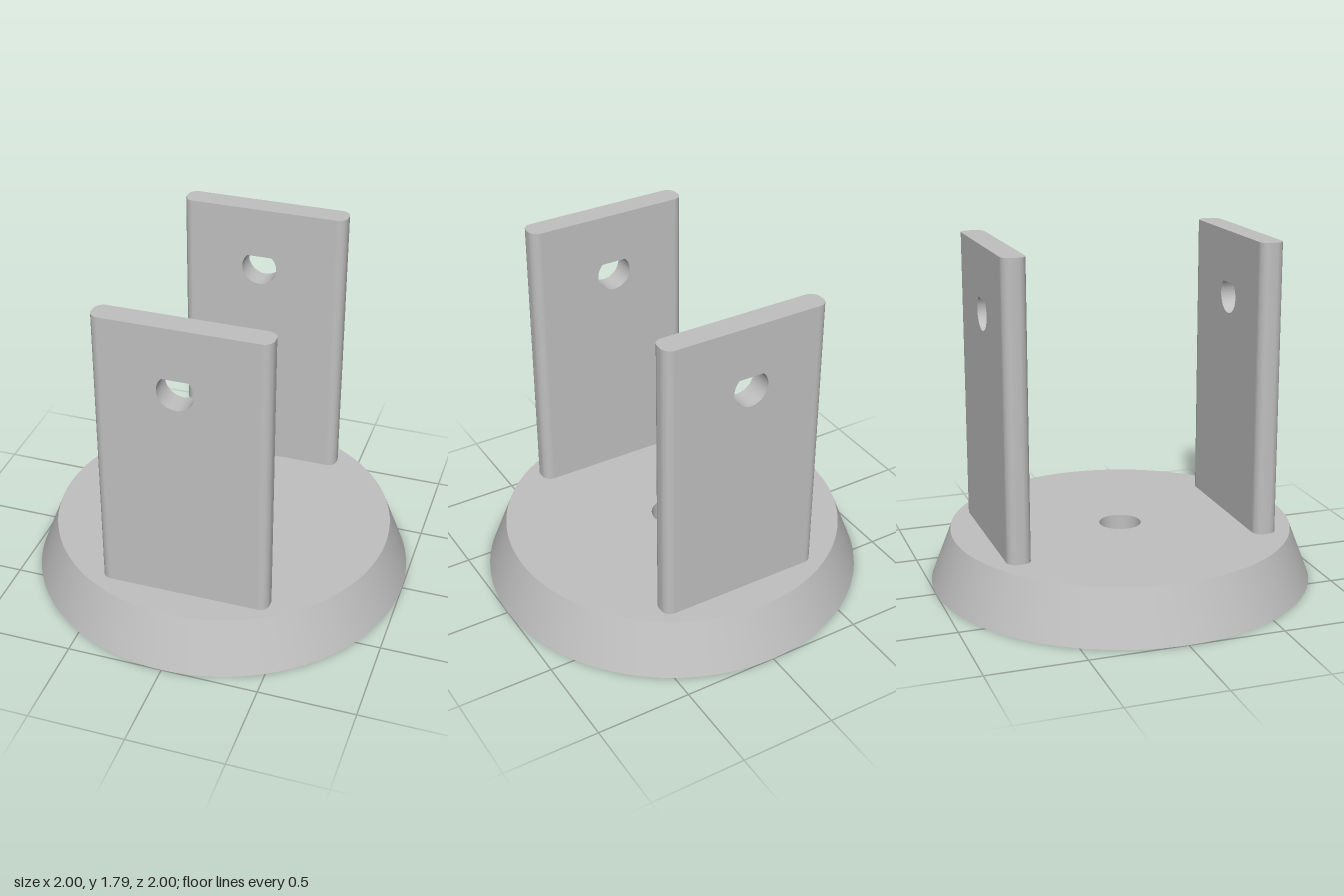
import * as THREE from 'three';
import { toCreasedNormals } from 'three/addons/utils/BufferGeometryUtils.js';

const BASE_H = 0.275, BASE_R = 1, TOP_R = 0.895, BORE_R = 0.11;
const PLATE_TOP = 1.795, PLATE_Z = 0.659, PLATE_T = 0.124;
const X0 = -0.42, X1 = 0.46, CORNER = 0.05;
const SCREW_X = -0.247, SCREW_R = 0.035;

const grey = new THREE.MeshStandardMaterial({ color: 0xc0c0c0 });
grey.name = 'plain grey';

function add(parent, name, geometry, crease = 0.5) {
  const mesh = new THREE.Mesh(toCreasedNormals(geometry, crease), grey);
  mesh.name = name;
  parent.add(mesh);
  return mesh;
}

const lathe = (pts, segments) =>
  new THREE.LatheGeometry(pts.map(([x, y]) => new THREE.Vector2(x, y)), segments);

function circlePath(x, y, r) {
  const path = new THREE.Path();
  path.absarc(x, y, r, 0, Math.PI * 2, true);
  return path;
}

// Tapered round base with a central bore and two blind screw holes underneath
function makeBase() {
  const base = new THREE.Group();
  base.name = 'base';
  add(base, 'baseBody', lathe(
    [[BASE_R, 0], [TOP_R, BASE_H], [BORE_R, BASE_H], [BORE_R, 0]], 96));

  const underside = new THREE.Shape();
  underside.absarc(0, 0, BASE_R, 0, Math.PI * 2, false);
  underside.holes.push(circlePath(0, 0, BORE_R));
  for (const side of [1, -1]) {
    underside.holes.push(circlePath(SCREW_X, side * PLATE_Z, SCREW_R));
    const hole = add(base, 'screwHole', lathe(
      [[0, BASE_H - 0.01], [SCREW_R, BASE_H - 0.01], [SCREW_R, 0]], 32));
    hole.position.set(SCREW_X, 0, side * PLATE_Z);
  }
  add(base, 'underside', new THREE.ShapeGeometry(underside, 96).rotateX(Math.PI / 2));
  return base;
}

// Upright plate: flat middle with a teardrop hole, and rounded strips at both ends
function makePlate(name) {
  const plate = new THREE.Group();
  plate.name = name;
  const a = X0 + CORNER, b = X1 - CORNER;

  const panel = new THREE.Shape();
  panel.moveTo(a, BASE_H);
  panel.lineTo(b, BASE_H);
  panel.lineTo(b, PLATE_TOP);
  panel.lineTo(a, PLATE_TOP);
  panel.closePath();

  // Teardrop: an arc closed by two tangents meeting at a 90 degree tip
  const r = 0.094, cy = 1.459;
  const drop = new THREE.Path();
  drop.moveTo(0, cy + r * Math.SQRT2);
  drop.absarc(0, cy, r, Math.PI / 4, Math.PI * 0.75, true);
  drop.closePath();
  panel.holes.push(drop);
  add(plate, 'panel', new THREE.ExtrudeGeometry(panel,
    { depth: PLATE_T, bevelEnabled: false, curveSegments: 40 }).translate(0, 0, -PLATE_T / 2));

  const h = PLATE_T / 2;
  for (const side of [1, -1]) {
    const end = new THREE.Shape();
    if (side > 0) {
      end.moveTo(b, -h);
      end.absarc(b, -h + CORNER, CORNER, -Math.PI / 2, 0, false);
      end.absarc(b, h - CORNER, CORNER, 0, Math.PI / 2, false);
    } else {
      end.moveTo(a, h);
      end.absarc(a, h - CORNER, CORNER, Math.PI / 2, Math.PI, false);
      end.absarc(a, -h + CORNER, CORNER, Math.PI, Math.PI * 1.5, false);
    }
    end.closePath();
    add(plate, 'roundedEdge', new THREE.ExtrudeGeometry(end,
      { depth: PLATE_TOP - BASE_H, bevelEnabled: false, curveSegments: 10 })
      .rotateX(-Math.PI / 2).translate(0, BASE_H, 0));
  }
  return plate;
}

export function createModel() {
  const model = new THREE.Group();
  model.name = 'uprightBracket';
  model.add(makeBase());
  for (const [name, z] of [['frontPlate', PLATE_Z], ['backPlate', -PLATE_Z]]) {
    const plate = makePlate(name);
    plate.position.z = z;
    model.add(plate);
  }
  return model;
}
